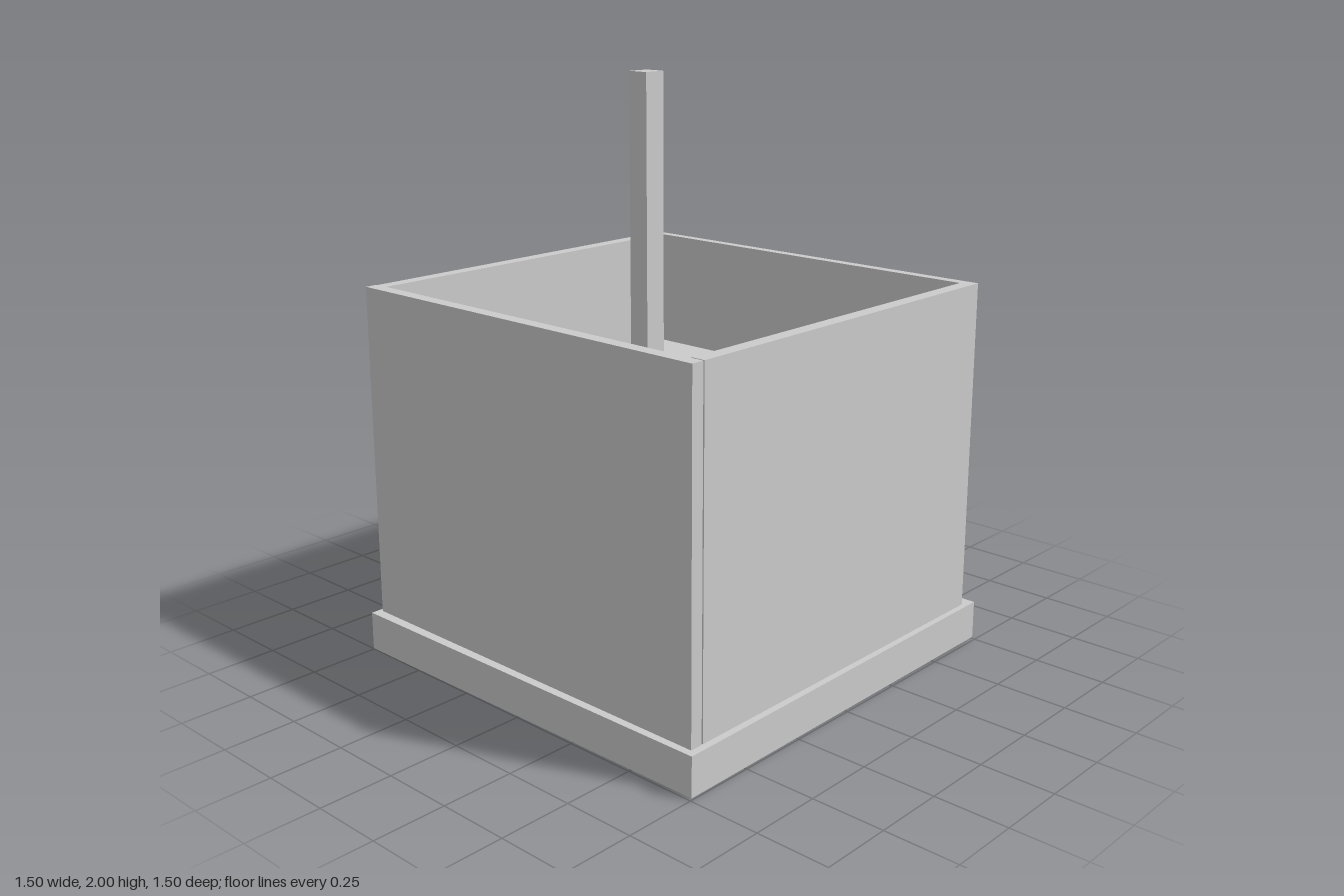
import * as THREE from 'three';

const material = new THREE.MeshStandardMaterial({ color: 0xcccccc, flatShading: true });

// Upright prism from a footprint of [x, z] corners
function prism(name, corners, y0, y1) {
  const shape = new THREE.Shape(corners.map(([x, z]) => new THREE.Vector2(x, -z)));
  const geometry = new THREE.ExtrudeGeometry(shape, { depth: y1 - y0, bevelEnabled: false });
  geometry.rotateX(-Math.PI / 2).translate(0, y0, 0);
  const mesh = new THREE.Mesh(geometry, material);
  mesh.name = name;
  return mesh;
}

// Straight block given by its limits on x, y and z
function block(name, x0, x1, y0, y1, z0, z1) {
  return prism(name, [[x0, z0], [x1, z0], [x1, z1], [x0, z1]], y0, y1);
}

export function createModel() {
  const model = new THREE.Group();
  model.name = 'openTank';
  const wallTop = 1.295;

  model.add(
    // Slightly skewed base slab and the thin plate under it
    prism('base', [[-0.755, -0.745], [0.74, -0.755], [0.75, 0.74], [-0.745, 0.75]], 0.006, 0.14),
    prism('basePlate', [[-0.72, -0.73], [0.69, -0.735], [0.7, 0.72], [-0.72, 0.725]], 0, 0.05),

    // Left panel, then one folded panel for the back, right and front
    block('sidePanel', -0.72, -0.675, 0.1, wallTop, -0.73, 0.725),
    prism('foldedPanel', [
      [-0.675, -0.725], [0.692, -0.735], [0.702, 0.72], [-0.67, 0.725],
      [-0.67, 0.677], [0.665, 0.673], [0.66, -0.686], [-0.675, -0.68],
    ], 0.1, wallTop),

    // Parts standing inside the tank
    block('cornerPartition', -0.675, -0.59, 0.13, 0.95, -0.68, -0.19),
    block('frontBlock', -0.655, -0.405, 0.13, 0.4, 0.36, 0.67),

    // Plate carrying the tall post
    block('postPlate', -0.33, 0.14, 0.955, 1.05, -0.235, 0.19),
    block('post', -0.153, -0.075, 1.04, 2, -0.063, 0.012),
  );
  return model;
}
